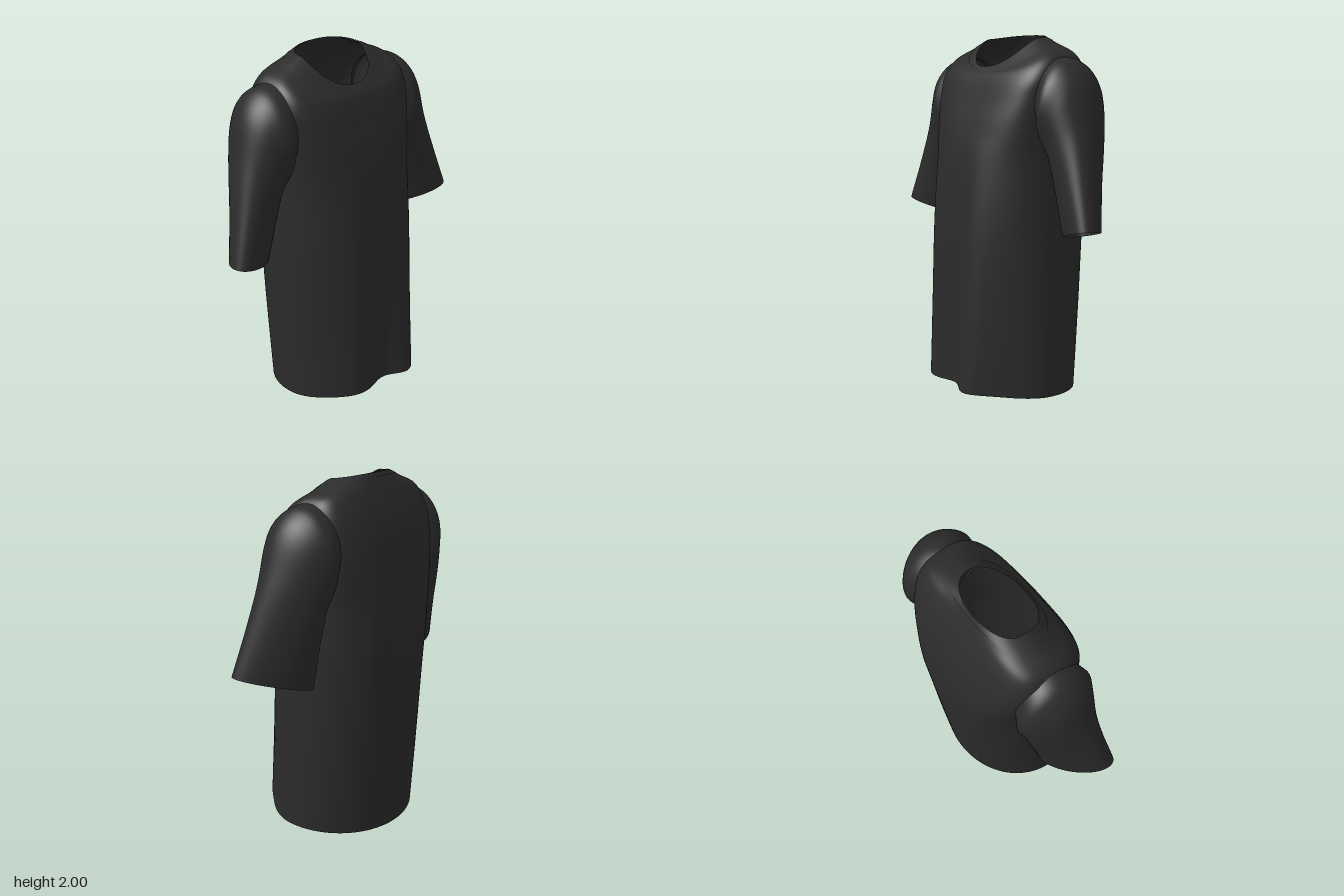
import * as THREE from 'three';

const fabric = new THREE.MeshStandardMaterial({ color: 0x2b2b2b, side: THREE.DoubleSide });

// Smooth interpolation through rows of numbers, t in 0..1
function sampleRows(rows, t) {
  const s = t * (rows.length - 1);
  const i = Math.min(Math.floor(s), rows.length - 2);
  const f = s - i;
  const row = (k) => rows[Math.max(0, Math.min(rows.length - 1, k))];
  return rows[0].map((_, c) => {
    const [a, b, d, e] = [row(i - 1)[c], row(i)[c], row(i + 1)[c], row(i + 2)[c]];
    return b + 0.5 * f * (d - a + f * (2 * a - 5 * b + 4 * d - e + f * (3 * (b - d) + e - a)));
  });
}

// Open tube made of closed loops; point(t, angle) returns [x, y, z]
function loft(name, point, rings, segs, flip = false, t0 = 0, t1 = 1) {
  const pos = [], index = [];
  for (let i = 0; i <= rings; i++) {
    for (let j = 0; j < segs; j++) {
      pos.push(...point(t0 + (t1 - t0) * i / rings, j / segs * Math.PI * 2));
      if (i === rings) continue;
      const a = i * segs + j, b = i * segs + (j + 1) % segs;
      const c = a + segs, d = b + segs;
      if (flip) index.push(a, b, c, b, d, c);
      else index.push(a, c, b, b, c, d);
    }
  }
  const geo = new THREE.BufferGeometry();
  geo.setAttribute('position', new THREE.Float32BufferAttribute(pos, 3));
  geo.setIndex(index);
  geo.computeVertexNormals();
  const mesh = new THREE.Mesh(geo, fabric);
  mesh.name = name;
  return mesh;
}

const power = (v, p) => Math.sign(v) * Math.abs(v) ** p;
const bump = (v, centre, width) => Math.exp(-(((v - centre) / width) ** 2));

// Torso rings: half width, side z, front z, back z, front y, side y, back y, squareness
const TORSO = [
  [0.458, 0.03, 0.38, -0.37, 0.06, 0.035, 0.0, 1],
  [0.455, 0.0, 0.367, -0.40, 0.5, 0.5, 0.5, 0.97],
  [0.45, -0.02, 0.35, -0.42, 0.95, 0.95, 0.95, 0.93],
  [0.435, -0.05, 0.315, -0.418, 1.3, 1.3, 1.3, 0.83],
  [0.435, -0.07, 0.268, -0.395, 1.5, 1.5, 1.52, 0.65],
  [0.445, -0.08, 0.22, -0.352, 1.64, 1.66, 1.69, 0.54],
  [0.452, -0.08, 0.187, -0.3, 1.73, 1.79, 1.82, 0.54],
  [0.415, -0.08, 0.163, -0.255, 1.78, 1.888, 1.905, 0.62],
  [0.31, -0.075, 0.143, -0.225, 1.803, 1.94, 1.96, 0.78],
  [0.212, -0.07, 0.12, -0.2, 1.827, 1.98, 2.0, 0.88],
];

function torsoPoint(t, a, offset = 0) {
  const [w, zs, zf, zb, yf, ys, yb, p] = sampleRows(TORSO, t);
  const c = Math.cos(a), s = Math.sin(a);
  let x = (w + offset) * power(c, p);
  const y = ys + ((s > 0 ? yf : yb) - ys) * Math.abs(s) ** 1.2;
  let z = zs + ((s > 0 ? zf - zs : zs - zb) + offset) * power(s, p);
  // Soft drapes: deepest at the front hem, shallow across the back
  const hang = Math.max(0, 1 - y / 1.45);
  if (s > 0) {
    z += s * hang * (0.072 * bump(x, 0.18, 0.12) + 0.035 * bump(x, -0.24, 0.13) - 0.035 * bump(x, 0, 0.1));
  } else {
    z += s * bump(y, 1.3, 0.3) * 0.015 * (bump(x, 0.24, 0.06) + bump(x, -0.24, 0.06));
  }
  x += 0.012 * hang;
  return [x, y, z];
}

// Sleeve rings: outer point, inner point, half depth vector; the first sits inside the torso
const SLEEVE = [
  [0.35, 1.87, -0.08, 0.38, 1.45, -0.08, 0, 0, 0.17],
  [0.44, 1.876, -0.078, 0.41, 1.38, -0.08, 0, 0, 0.205],
  [0.525, 1.84, -0.07, 0.425, 1.33, -0.08, 0, 0, 0.225],
  [0.605, 1.735, -0.055, 0.44, 1.27, -0.085, 0, 0, 0.2],
  [0.67, 1.53, -0.03, 0.45, 1.16, -0.09, 0.005, 0, 0.175],
  [0.74, 1.29, 0.02, 0.455, 1.04, -0.095, 0.01, 0.006, 0.15],
  [0.825, 1.01, 0.075, 0.467, 0.91, -0.095, 0.02, 0.015, 0.13],
];

function sleevePoint(side) {
  return (t, a) => {
    const r = sampleRows(SLEEVE, t);
    const c = Math.cos(a), s = Math.sin(a);
    const [x, y, z] = [0, 1, 2].map((k) =>
      (r[k] + r[k + 3]) / 2 + c * (r[k] - r[k + 3]) / 2 + s * r[k + 6]);
    // The right sleeve hangs slightly further back
    return [side * x, y, z - (side < 0 ? 0.03 * t : 0)];
  };
}

export function createModel() {
  const shirt = new THREE.Group();
  shirt.name = 'shirt';
  shirt.add(loft('torso', torsoPoint, 72, 128));

  // Neck band lying just proud of the neckline
  shirt.add(loft('collar', (t, a) => torsoPoint(t, a, 0.006), 8, 128, false, 0.93, 1));

  for (const side of [1, -1]) {
    shirt.add(loft(side > 0 ? 'leftSleeve' : 'rightSleeve', sleevePoint(side), 42, 56, side > 0));
  }
  return shirt;
}
